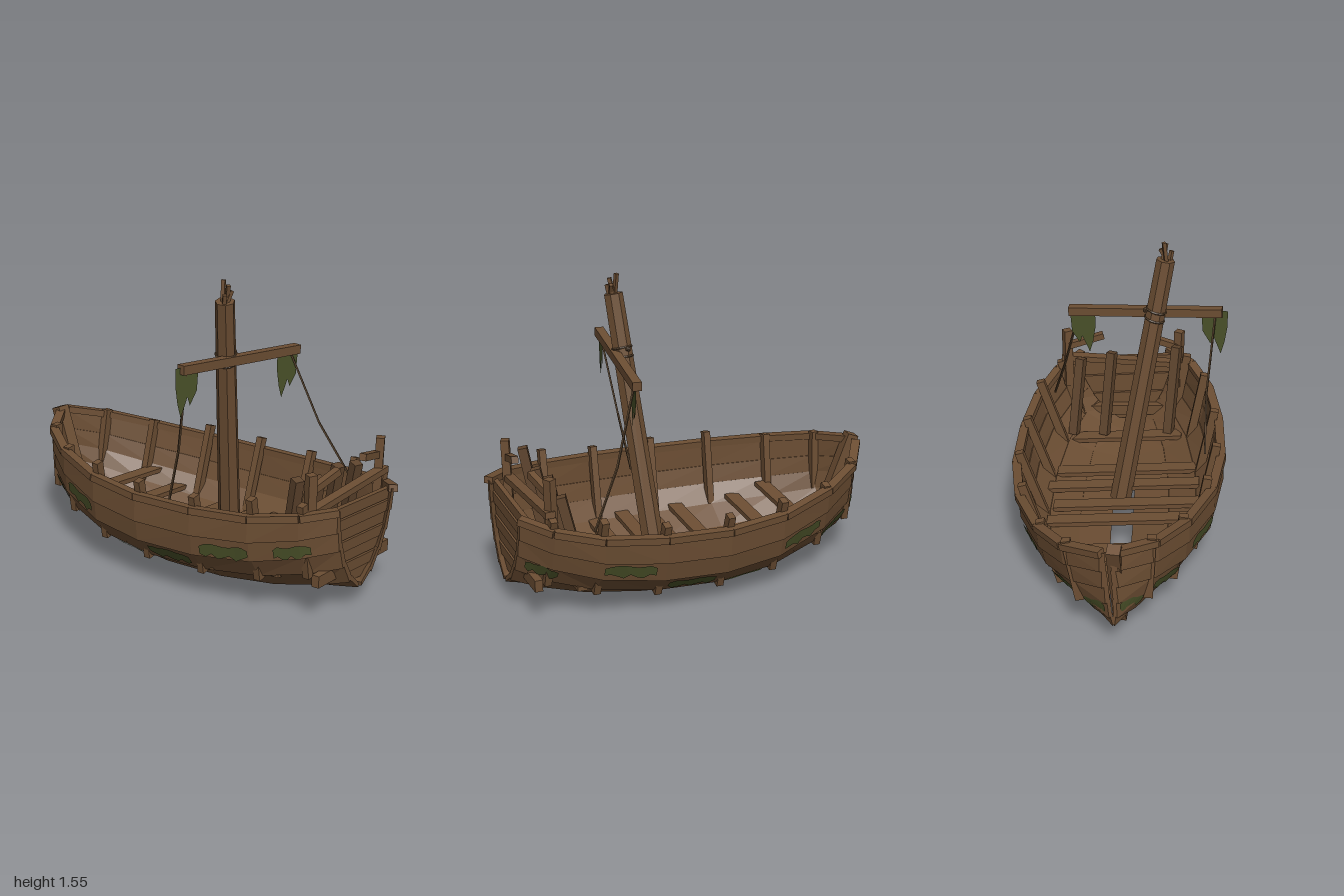
import * as THREE from 'three';

const material = (name, color, side = THREE.FrontSide) => {
  const m = new THREE.MeshStandardMaterial({ color, side, flatShading: true });
  m.name = name;
  return m;
};
const wood = material('weathered wood', 0x6c4e33);
const darkWood = material('dark wood', 0x5e442d);
const moss = material('moss', 0x4b5229, THREE.DoubleSide);
const cloth = material('rotten cloth', 0x4a5229, THREE.DoubleSide);
const ropeMat = material('rope', 0x54402b);

// Hull stations: z, half width, keel height, sheer height
const stations = [
  [-0.96, 0.035, 0.14, 0.57], [-0.83, 0.23, 0.105, 0.53], [-0.62, 0.37, 0.055, 0.49],
  [-0.31, 0.49, 0.015, 0.455], [0, 0.536, 0, 0.445], [0.33, 0.526, 0.01, 0.455],
  [0.63, 0.477, 0.04, 0.475], [0.85, 0.38, 0.075, 0.51], [0.98, 0.25, 0.1, 0.54],
];
// Section shape at midship and at the ends, keel to sheer
const midX = [0.085, 0.46, 0.75, 0.92, 0.975, 1], midY = [0, 0.09, 0.27, 0.48, 0.71, 1];
const endX = [0.05, 0.36, 0.62, 0.8, 0.91, 1], endY = [0, 0.14, 0.34, 0.55, 0.76, 1];
const lerp = THREE.MathUtils.lerp;

function sample(list, v) {
  const i = Math.min(Math.floor(v), list.length - 2);
  return lerp(list[i], list[i + 1], v - i);
}

// Point on the outer skin of the +x side
function hullPoint(z, v, out = 0) {
  let i = 0;
  while (i < stations.length - 2 && z > stations[i + 1][0]) i++;
  const a = stations[i], b = stations[i + 1], t = (z - a[0]) / (b[0] - a[0]);
  const [w, k, s] = [1, 2, 3].map((n) => lerp(a[n], b[n], t));
  const e = Math.min(1, Math.pow(Math.abs(z), 3));
  const x = w * lerp(sample(midX, v), sample(endX, v), e);
  const y = k + (s - k) * lerp(sample(midY, v), sample(endY, v), e);
  const angle = lerp(-1.4, 0, Math.min(1, v / 4.2));
  return new THREE.Vector3(x + Math.cos(angle) * out, y + Math.sin(angle) * out, z);
}

function add(parent, geometry, mat, name) {
  const mesh = new THREE.Mesh(geometry, mat);
  mesh.name = name;
  parent.add(mesh);
  return mesh;
}

function beam(parent, name, a, b, w, h, mat = wood) {
  const p = new THREE.Vector3(...a), q = new THREE.Vector3(...b);
  const mesh = new THREE.Mesh(new THREE.BoxGeometry(w, h, p.distanceTo(q)), mat);
  mesh.name = name;
  mesh.position.copy(p).add(q).multiplyScalar(0.5);
  mesh.lookAt(q);
  parent.add(mesh);
  return mesh;
}

// Skin rings of equal length into a flat shaded body with closed ends
function loft(rings, flip) {
  const pos = [];
  const quad = (a, b, c, d) => {
    for (const p of flip ? [a, c, b, a, d, c] : [a, b, c, a, c, d]) pos.push(p.x, p.y, p.z);
  };
  for (let i = 0; i < rings.length - 1; i++) {
    const r = rings[i], s = rings[i + 1];
    for (let j = 0; j < 4; j++) quad(r[j], r[(j + 1) % 4], s[(j + 1) % 4], s[j]);
  }
  const last = rings[rings.length - 1];
  quad(rings[0][3], rings[0][2], rings[0][1], rings[0][0]);
  quad(last[0], last[1], last[2], last[3]);
  const g = new THREE.BufferGeometry();
  g.setAttribute('position', new THREE.Float32BufferAttribute(pos, 3));
  g.computeVertexNormals();
  return g;
}

function mirrored(p, side) {
  p.x *= side;
  return p;
}

// Thin patch lying on the hull, level above and ragged below
function mossPatch(z0, z1, v, side, seed) {
  const pos = [], n = 8;
  const row = (i) => {
    const z = lerp(z0, z1, i / n), taper = i === 0 || i === n ? 0.6 : 1;
    const up = (0.3 + 0.05 * Math.sin(i * 1.3 + seed)) * taper;
    const down = (0.29 + 0.13 * Math.cos(i * 2.2 + seed)) * taper;
    return [mirrored(hullPoint(z, v - down, 0.018), side), mirrored(hullPoint(z, v + up, 0.016), side)];
  };
  for (let i = 0; i < n; i++) {
    const [a, b] = row(i), [d, c] = row(i + 1);
    for (const p of side > 0 ? [a, b, c, a, c, d] : [a, c, b, a, d, c]) pos.push(p.x, p.y, p.z);
  }
  const g = new THREE.BufferGeometry();
  g.setAttribute('position', new THREE.Float32BufferAttribute(pos, 3));
  g.computeVertexNormals();
  return g;
}

function buildHull() {
  const hull = new THREE.Group();
  hull.name = 'hull';
  for (const side of [1, -1]) {
    // Overlapping strakes, the lowest sprung further open on the left
    for (let k = 0; k < 5; k++) {
      const rings = stations.map(([z]) => {
        const ring = [
          hullPoint(z, k, k ? 0.012 : 0), hullPoint(z, k + 1, 0),
          hullPoint(z, k + 1, -0.024), hullPoint(z, k, -0.02),
        ];
        if (k === 0 && side > 0) for (const j of [0, 3]) ring[j].x += 0.028 * (1 - z * z);
        return ring.map((p) => mirrored(p, side));
      });
      add(hull, loft(rings, side < 0), wood, 'strake');
    }
    // Rail caps along the sheer
    for (let i = 0; i < stations.length - 1; i++) {
      const a = mirrored(hullPoint(stations[i][0], 5, -0.008), side);
      const b = mirrored(hullPoint(stations[i + 1][0], 5, -0.008), side);
      beam(hull, 'railCap', a.toArray(), b.toArray(), 0.046, 0.035);
    }
    // Straight ribs poking through the chine and above the rail
    for (const [z, rise] of [[-0.83, 0.03], [-0.61, 0.03], [-0.31, 0.075], [0, 0.075],
      [0.33, 0.068], [0.63, 0.095], [0.85, 0.06]]) {
      const low = hullPoint(z, 1.9, 0.02), top = hullPoint(z, 5, -0.028);
      beam(hull, 'rib', [low.x * side, low.y, z], [top.x * side, top.y + rise, z], 0.036, 0.044);
    }
    // Moss
    const stern = side > 0 ? [[0.38, 0.63, 3.6], [0.82, 0.95, 2.7]] : [[0.38, 0.63, 3.4], [0.74, 0.89, 3.4]];
    [...stern, [0.05, 0.3, 2.6], [-0.27, -0.03, 1.65], [-0.57, -0.33, 3.6],
      [-0.82, -0.63, 2.45], [-0.955, -0.85, 1.8]].forEach(([a, b, v], i) =>
      add(hull, mossPatch(a, b, v, side, i * 1.7 + side), moss, 'mossPatch'));
  }
  // Transom planks
  for (let i = 0; i < 7; i++) {
    const level = (n) => 0.13 + n * 0.058;
    const half = (y) => {
      let v = 0;
      while (v < 5 && hullPoint(0.95, v).y < y) v += 0.02;
      return hullPoint(0.95, Math.min(v, 5)).x - 0.015;
    };
    const y0 = level(i) + 0.002, y1 = level(i + 1) - 0.002, w0 = half(y0), w1 = half(y1);
    const shape = new THREE.Shape([[-w0, y0], [w0, y0], [w1, y1], [-w1, y1]].map((p) => new THREE.Vector2(...p)));
    const g = new THREE.ExtrudeGeometry(shape, { depth: 0.025, bevelEnabled: false });
    add(hull, g, wood, 'transomPlank').position.z = 0.925 + (i % 2) * 0.008;
  }
  beam(hull, 'transomBeam', [-0.29, 0.19, 0.91], [0.32, 0.215, 0.91], 0.04, 0.06);
  // Floor planks: z, left end, right end, height
  for (const [z, x0, x1, y] of [[-0.58, -0.3, 0.33, 0.25], [-0.42, -0.34, 0.35, 0.185],
    [-0.11, -0.41, 0.39, 0.15], [0.05, -0.41, 0.37, 0.135], [0.2, -0.4, 0.42, 0.155],
    [0.36, -0.4, 0.37, 0.145], [0.67, -0.3, 0.33, 0.165]]) {
    beam(hull, 'floorPlank', [x0, y, z], [x1, y, z + 0.01], 0.075, 0.025);
  }
  hull.rotation.set(0, -0.025, -0.075);
  hull.position.set(-0.026, 0.005, 0);
  return hull;
}

function ragged(width, drop) {
  const pts = [[0, 0], [1, 0], [0.98, -0.5], [0.7, -0.78], [0.58, -0.6], [0.32, -1], [0.16, -0.72], [0.03, -0.35]];
  return new THREE.ShapeGeometry(new THREE.Shape(pts.map(([x, y]) => new THREE.Vector2(x * width, y * drop))));
}

function buildRig() {
  const rig = new THREE.Group();
  rig.name = 'rig';
  // Leaning broken mast
  const base = new THREE.Vector3(0, 0.1, 0.18), top = new THREE.Vector3(-0.22, 1.45, 0.3);
  const dir = top.clone().sub(base), turn = new THREE.Quaternion();
  turn.setFromUnitVectors(new THREE.Vector3(0, 1, 0), dir.clone().normalize());
  const mast = add(rig, new THREE.CylinderGeometry(0.048, 0.058, dir.length(), 7), wood, 'mast');
  mast.position.copy(base).add(top).multiplyScalar(0.5);
  mast.quaternion.copy(turn);
  for (const [x, z, dx, dy, dz] of [[-0.24, 0.31, -0.01, 0.04, 0.01], [-0.225, 0.29, 0.015, 0.1, -0.005],
    [-0.205, 0.3, -0.015, 0.08, 0.02], [-0.23, 0.31, 0.035, 0.05, 0.01]]) {
    beam(rig, 'splinter', [x, 1.43, z], [x + dx, 1.45 + dy, z + dz], 0.018, 0.018);
  }
  // Crossing yard with lashing
  beam(rig, 'yard', [-0.51, 1.18, 0.26], [0.27, 1.115, 0.39], 0.045, 0.045);
  for (const t of [0.765, 0.8]) {
    const lashing = add(rig, new THREE.TorusGeometry(0.05, 0.006, 5, 12), ropeMat, 'lashing');
    lashing.position.lerpVectors(base, top, t);
    lashing.quaternion.copy(turn).multiply(new THREE.Quaternion().setFromEuler(new THREE.Euler(Math.PI / 2, 0.1, 0)));
  }
  add(rig, new THREE.IcosahedronGeometry(0.015), ropeMat, 'lashingKnot').position.set(-0.122, 1.185, 0.265);
  // Torn sail remnants
  for (const [x, y, z, w, d] of [[-0.537, 1.19, 0.25, 0.137, 0.245], [0.135, 1.11, 0.362, 0.135, 0.225]]) {
    const sail = add(rig, ragged(w, d), cloth, 'sailRemnant');
    sail.position.set(x, y, z);
    sail.rotation.set(0, -0.25, -0.06);
  }
  // Slack ropes
  for (const pts of [[[0.22, 1.1, 0.385], [0.3, 0.74, 0.51], [0.37, 0.46, 0.66]],
    [[-0.475, 1.16, 0.265], [-0.44, 0.74, 0.19], [-0.44, 0.42, 0.12]]]) {
    for (let i = 0; i < 2; i++) beam(rig, 'rope', pts[i], pts[i + 1], 0.009, 0.009, ropeMat);
  }
  return rig;
}

export function createModel() {
  const model = new THREE.Group();
  model.name = 'wreckedBoat';
  model.add(buildHull(), buildRig());
  // Raking stem post
  beam(model, 'stemPost', [-0.02, 0.06, -0.765], [0.01, 0.6, -0.965], 0.065, 0.06);
  // Stern rail with broken ends and stakes
  beam(model, 'sternRail', [-0.33, 0.54, 0.85], [0.34, 0.57, 0.87], 0.05, 0.032);
  for (const side of [-1, 1]) {
    beam(model, 'sternPost', [side * 0.305, 0.4, 0.85], [side * 0.31, 0.74, 0.86], 0.045, 0.042);
    beam(model, 'brokenRail', [side * 0.3, 0.65, 0.85], [side * 0.11, 0.7, 0.88], 0.035, 0.035);
  }
  for (const [x, y] of [[-0.295, 0.69], [-0.11, 0.64], [0.06, 0.65], [0.23, 0.61]]) {
    beam(model, 'stake', [x + 0.04, 0.18, 0.68], [x, y, 0.775], 0.048, 0.048, darkWood);
  }
  return model;
}
